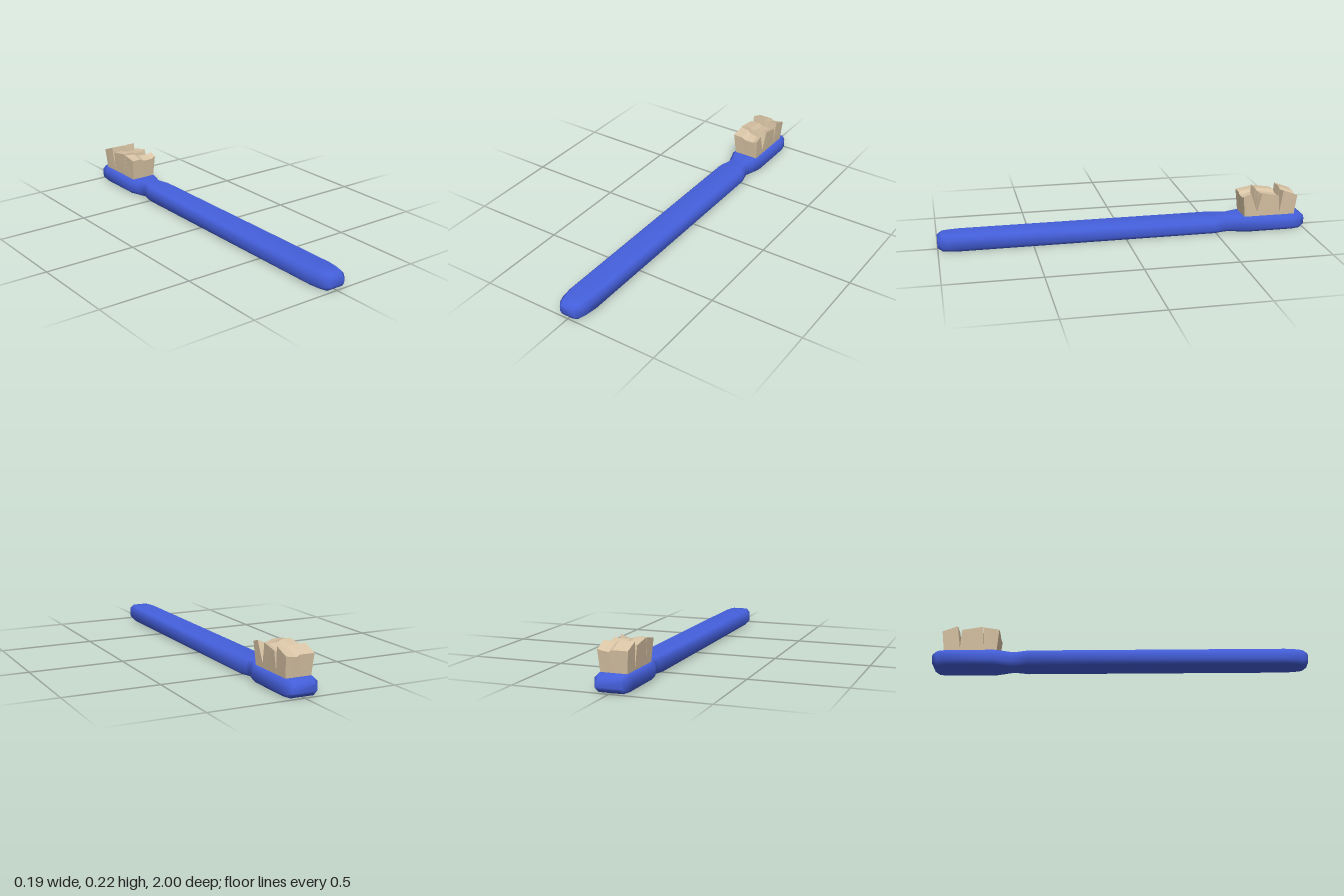
import * as THREE from 'three';

// Skin a row of closed loops and cap both ends.
function loft(sections) {
  const n = sections[0].length, m = sections.length, idx = [];
  for (let i = 0; i < m - 1; i++) {
    for (let j = 0; j < n; j++) {
      const k = (j + 1) % n;
      const a = i * n + j, b = i * n + k, c = b + n, d = a + n;
      idx.push(a, b, c, a, c, d);
    }
  }
  const last = (m - 1) * n;
  for (let j = 1; j < n - 1; j++) {
    idx.push(0, j + 1, j, last, last + j, last + j + 1);
  }
  const g = new THREE.BufferGeometry();
  g.setAttribute('position', new THREE.Float32BufferAttribute(sections.flat(2), 3));
  g.setIndex(idx);
  g.computeVertexNormals();
  return g;
}

// Chamfered cross-section of the handle at z.
function handleSection([z, w, y0, y1, c]) {
  return [
    [w, y0 + c, z], [w, y1 - c, z], [w - c, y1, z], [c - w, y1, z],
    [-w, y1 - c, z], [-w, y0 + c, z], [c - w, y0, z], [w - c, y0, z],
  ];
}

const COLUMNS = [-1, -0.33, 0, 0.25, 0.65, 1];

// One clump of bristles: wedge profile [y, z, z shift across x] swept over x with an uneven top.
function tuft(profile, dips) {
  return loft(COLUMNS.map((u, i) => profile.map(([y, z, skew = 0]) => {
    const t = Math.min(1, Math.max(0, (y - 0.08) / 0.12));
    const top = y > 0.15;
    return [u * (0.068 + 0.009 * t), y + (top ? dips[i] : 0), z + skew * (1 - u) / 2];
  })));
}

export function createModel() {
  const group = new THREE.Group();
  const blue = new THREE.MeshStandardMaterial({ color: 0x4560dd });
  const tan = new THREE.MeshStandardMaterial({ color: 0xd9c4a5, flatShading: true });

  const add = (name, geometry, material) => {
    const mesh = new THREE.Mesh(geometry, material);
    mesh.name = name;
    group.add(mesh);
  };

  // Handle, neck and head in one piece: z, half width, bottom, top, chamfer
  const H = 0.086;
  add('handle', loft([
    [-1, 0.066, 0.016, 0.07, 0.012],
    [-0.975, 0.082, 0, H, 0.02],
    [-0.93, 0.093, 0, H, 0.02],
    [-0.67, 0.093, 0, H, 0.02],
    [-0.61, 0.073, 0, H, 0.02],
    [-0.58, 0.062, 0, H, 0.02],
    [-0.55, 0.064, 0, H, 0.02],
    [-0.49, 0.08, 0, H, 0.02],
    [0.88, 0.08, 0, H, 0.02],
    [0.94, 0.072, 0, H, 0.02],
    [0.975, 0.061, 0, H, 0.02],
    [1, 0.045, 0.016, 0.07, 0.012],
  ].map(handleSection)), blue);

  // Bristle clumps, split by a wide notch and a narrow one
  add('frontBristles', tuft([
    [0.08, -0.658], [0.08, -0.727], [0.11, -0.727],
    [0.217, -0.688, -0.042], [0.203, -0.647],
  ], [0, 0, -0.012, -0.012, -0.012, 0]), tan);

  add('middleBristles', tuft([
    [0.08, -0.727], [0.08, -0.855], [0.1, -0.855],
    [0.203, -0.847], [0.221, -0.753, 0.018], [0.11, -0.727],
  ], [0, 0, -0.012, -0.012, -0.012, -0.004]), tan);

  add('backBristles', tuft([
    [0.08, -0.855], [0.08, -0.94], [0.195, -0.953],
    [0.225, -0.872], [0.1, -0.855],
  ], [0, 0, 0, -0.01, -0.006, 0]), tan);

  return group;
}
